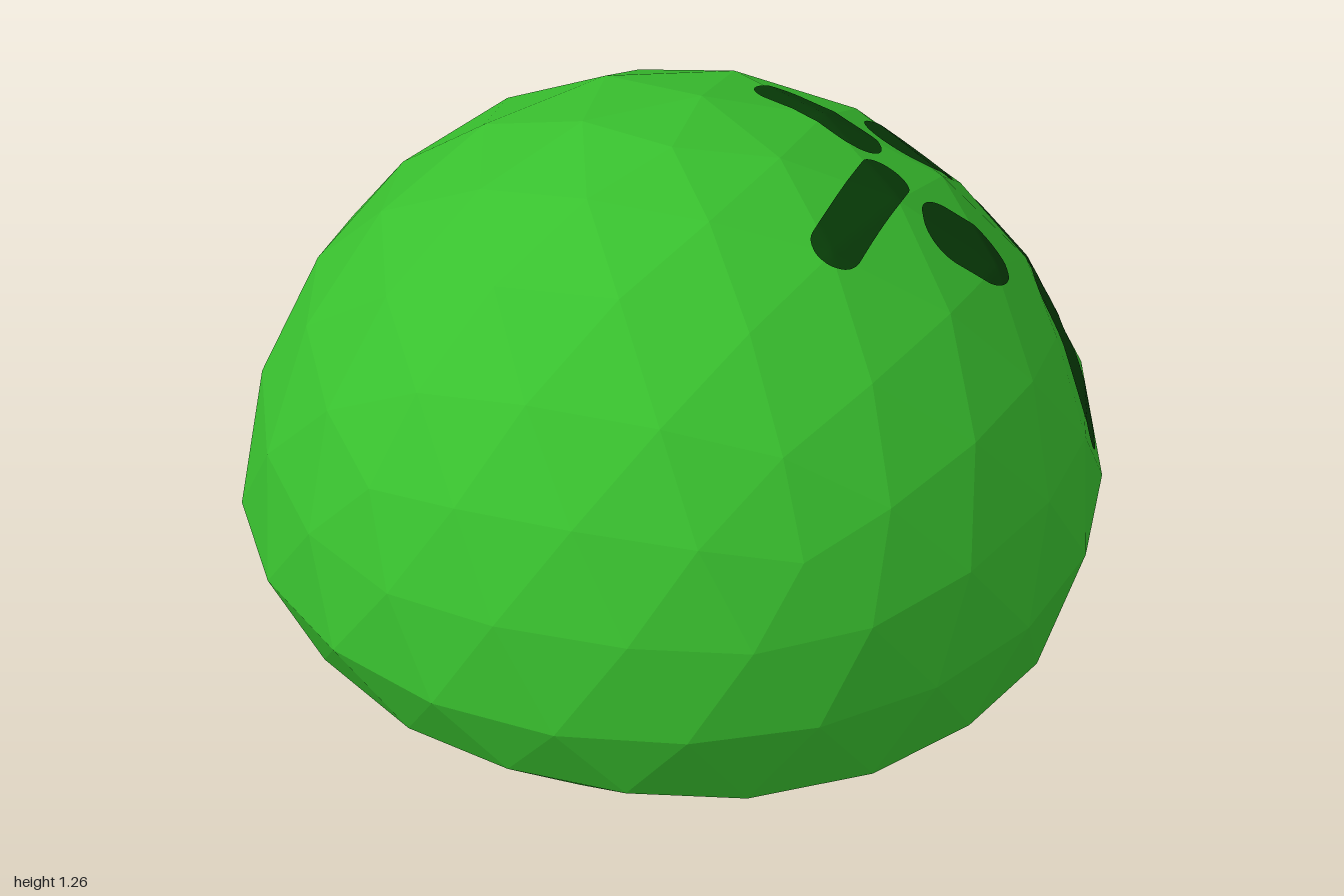
import * as THREE from 'three';

const CENTER = new THREE.Vector3(0, 0.3, 0);

// Faceted dome: an icosphere with a pole on top and its lower half squashed
function domeGeometry() {
  const g = new THREE.IcosahedronGeometry(1, 3);
  g.rotateX(-Math.atan((1 + Math.sqrt(5)) / 2));
  const p = g.attributes.position;
  for (let i = 0; i < p.count; i++) {
    const x = p.getX(i), y = p.getY(i), z = p.getZ(i);
    if (y > -0.01) {
      // upper shell, slightly slimmer than a sphere at the shoulders
      const h = 0.3 + 0.965 * y - 0.11 * y * (1 - y) + (0.018 * x + 0.03 * z) * (1 - y);
      p.setXYZ(i, x * 0.97, h, z);
    } else {
      // steep rim, then a shallow cone with a flat middle
      const d = -y, r = Math.hypot(x, z);
      const h = d < 0.3 ? 0.3 - 0.65 * d : 0.075 * Math.max(0, (r - 0.2) / 0.69);
      p.setXYZ(i, x * 0.97 * (1 - 0.16 * d), Math.max(0, h - 0.014 * x), z * (1 - 0.04 * d));
    }
  }
  g.computeVertexNormals();
  return g;
}

// Round-ended painted stroke laid over the dome's facets along a path
function strokeGeometry(dome, points, halfWidth) {
  const curve = new THREE.CatmullRomCurve3(points.map(p => new THREE.Vector3(...p)));
  const length = curve.getLength(), along = 56, across = 10;
  const ray = new THREE.Raycaster(), pos = [], index = [];
  for (let i = 0; i <= along; i++) {
    const u = (1 - Math.cos(Math.PI * i / along)) / 2; // denser at the round ends
    const c = curve.getPointAt(u), t = curve.getTangentAt(u);
    const n = c.clone().sub(CENTER).normalize();
    const side = n.clone().cross(t).normalize();
    const w = Math.min(halfWidth, length / 2);
    const e = Math.min(w, u * length, (1 - u) * length);
    const half = halfWidth * Math.sqrt(Math.max(0, 1 - (1 - e / w) ** 2));
    for (let j = 0; j <= across; j++) {
      const q = c.clone().addScaledVector(side, half * (2 * j / across - 1));
      const dir = q.sub(CENTER).normalize();
      ray.set(CENTER.clone().addScaledVector(dir, 2), dir.clone().negate());
      const hit = ray.intersectObject(dome)[0];
      const s = hit ? hit.point : CENTER.clone().addScaledVector(dir, 0.96);
      s.addScaledVector(dir, 0.005);
      pos.push(s.x, s.y, s.z);
      if (i < along && j < across) {
        const a = i * (across + 1) + j, b = a + across + 1;
        index.push(a, b, a + 1, b, b + 1, a + 1);
      }
    }
  }
  const g = new THREE.BufferGeometry();
  g.setAttribute('position', new THREE.Float32BufferAttribute(pos, 3));
  g.setIndex(index);
  g.computeVertexNormals();
  return g;
}

// Points on the dome given as seen from the side (z, y) or from above (x, z)
const fromSide = (z, y) => [Math.sqrt(0.9 - z * z - (y - 0.3) ** 2), y, z];
const fromTop = (x, z) => [x, 0.3 + Math.sqrt(0.9 - x * x - z * z), z];

export function createModel() {
  const group = new THREE.Group();
  const green = new THREE.MeshStandardMaterial({ color: 0x39c12f, flatShading: true });
  green.name = 'green';
  const darkGreen = new THREE.MeshStandardMaterial({ color: 0x083e08, side: THREE.DoubleSide });
  darkGreen.name = 'darkGreen';

  const dome = new THREE.Mesh(domeGeometry(), green);
  dome.name = 'body';
  group.add(dome);

  // Face on the +x side
  const face = [
    ['rightEyebrow', 0.072, [fromTop(0.32, -0.31), fromTop(0.41, -0.17), fromTop(0.51, -0.035)]],
    ['leftEyebrow', 0.063, [fromTop(0.23, 0.38), fromTop(0.38, 0.21), fromTop(0.52, 0.025)]],
    ['rightEye', 0.11, [fromTop(0.72, -0.155), fromTop(0.635, -0.175), fromTop(0.54, -0.2)]],
    ['leftEye', 0.1, [fromTop(0.725, 0.21), fromTop(0.63, 0.195), fromTop(0.535, 0.18)]],
    ['mouth', 0.066, [[0.365, 0.45], [0.27, 0.58], [0.17, 0.685], [0, 0.7],
      [-0.2, 0.69], [-0.3, 0.65], [-0.345, 0.56], [-0.36, 0.42]].map(p => fromSide(...p))],
  ];
  for (const [name, halfWidth, points] of face) {
    const mesh = new THREE.Mesh(strokeGeometry(dome, points, halfWidth), darkGreen);
    mesh.name = name;
    group.add(mesh);
  }
  return group;
}
